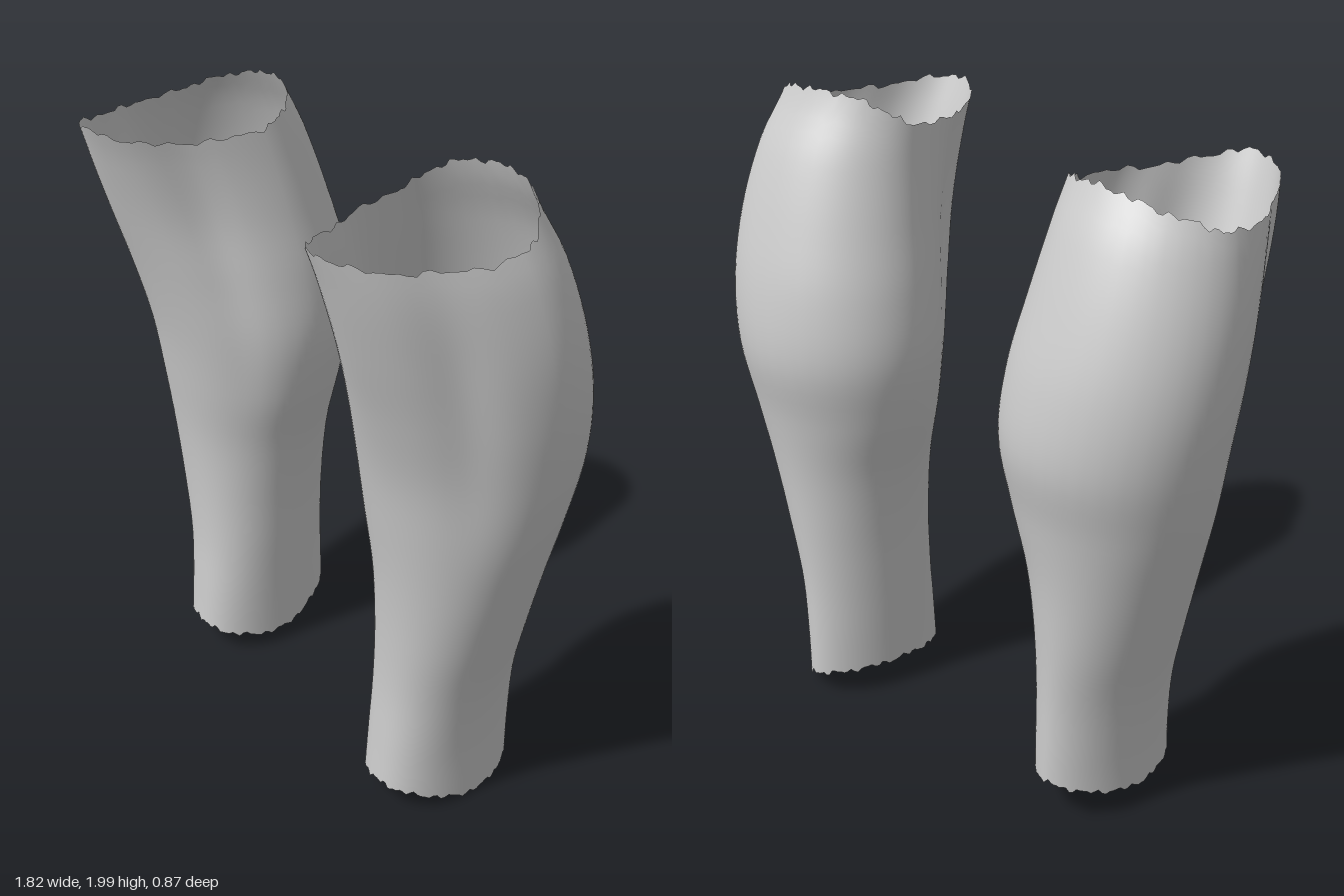
import * as THREE from 'three';

// Cross-sections of the left leg, every 0.2 up from y = 0:
// [inner x, outer x, front z, back z, z of widest point, front exponent, back exponent, flank hollow]
const SECTIONS = [
  [0.345, 0.655, 0.160, -0.337, -0.08, 2.3, 1.85, 0.00],
  [0.343, 0.660, 0.145, -0.337, -0.08, 2.3, 1.85, 0.00],
  [0.337, 0.685, 0.132, -0.337, -0.08, 2.2, 1.85, 0.00],
  [0.326, 0.735, 0.136, -0.348, -0.09, 2.1, 1.90, 0.00],
  [0.298, 0.790, 0.152, -0.365, -0.10, 1.95, 1.95, 0.00],
  [0.246, 0.845, 0.180, -0.395, -0.11, 1.85, 2.00, 0.01],
  [0.217, 0.885, 0.215, -0.434, -0.12, 1.80, 2.00, 0.03],
  [0.235, 0.908, 0.268, -0.418, -0.11, 1.80, 2.00, 0.06],
  [0.275, 0.905, 0.333, -0.365, -0.08, 1.80, 2.00, 0.08],
  [0.313, 0.868, 0.398, -0.292, -0.04, 1.90, 2.00, 0.06],
  [0.342, 0.800, 0.460, -0.195, 0.01, 2.00, 2.00, 0.02],
];

// Rim heights at eight directions: front, outer, back and inner with the diagonals between
const RIMS = {
  left: {
    top: [1.91, 1.88, 1.885, 1.96, 1.99, 1.97, 1.89, 1.87],
    bottom: [0.09, 0.07, 0.02, 0.03, 0.08, 0.10, 0.10, 0.08],
  },
  right: {
    top: [1.895, 1.85, 1.835, 1.89, 1.935, 1.92, 1.87, 1.86],
    bottom: [0.11, 0.10, 0.08, 0.11, 0.14, 0.12, 0.06, 0.08],
  },
};

// Smooth interpolation through four neighbouring values
function cubic(a, b, c, d, t) {
  const m0 = (c - a) / 2, m1 = (d - b) / 2;
  return b + t * (m0 + t * (3 * (c - b) - 2 * m0 - m1 + t * (2 * (b - c) + m0 + m1)));
}

function sectionAt(y) {
  const last = SECTIONS.length - 1;
  const f = THREE.MathUtils.clamp(y / 0.2, 0, last - 1e-6);
  const i = Math.floor(f);
  const row = (k) => SECTIONS[THREE.MathUtils.clamp(k, 0, last)];
  return SECTIONS[0].map((_, c) => cubic(row(i - 1)[c], row(i)[c], row(i + 1)[c], row(i + 2)[c], f - i));
}

function rimAt(heights, u) {
  const f = u * 8, i = Math.floor(f);
  const h = (k) => heights[(k + 8) % 8];
  return cubic(h(i - 1), h(i), h(i + 1), h(i + 2), f - i);
}

// Small repeatable raggedness for the torn rims
function ragged(u, phase) {
  const a = u * Math.PI * 2;
  return 0.005 * Math.sin(23 * a + phase) + 0.004 * Math.sin(37 * a + phase * 2.3) + 0.003 * Math.sin(11 * a + phase * 3.1);
}

// Point on the leg surface; u runs front, outer, back, inner
function surfacePoint(u, y) {
  const [xi, xo, zf, zb, zw, nf, nb, hollow] = sectionAt(y);
  const a = u * Math.PI * 2;
  const s = Math.sin(a), c = Math.cos(a);
  const n = c > 0 ? nf : nb;
  const r = 1 / Math.pow(Math.pow(Math.abs(s), n) + Math.pow(Math.abs(c), n), 1 / n);
  // hollows either side of the shin
  const off = Math.abs(Math.atan2(s, c)) - 0.9;
  const k = r * (1 - hollow * Math.exp(-off * off / 0.07));
  return [(xi + xo) / 2 + s * k * (xo - xi) / 2, y, zw + c * k * (c > 0 ? zf - zw : zw - zb)];
}

function makeLeg(name, side, rim, material) {
  const around = 112, rows = 48;
  const positions = [], indices = [];
  for (let j = 0; j <= rows; j++) {
    for (let i = 0; i < around; i++) {
      const u = i / around;
      const low = rimAt(rim.bottom, u) + ragged(u, 1 + side);
      const high = rimAt(rim.top, u) + ragged(u, 4 + side);
      const [x, y, z] = surfacePoint(u, THREE.MathUtils.lerp(low, high, j / rows));
      positions.push(side * x, y, z);
      if (j === rows) continue;
      const a = j * around + i, b = j * around + (i + 1) % around;
      const c = a + around, d = b + around;
      if (side > 0) indices.push(a, b, d, a, d, c);
      else indices.push(a, d, b, a, c, d);
    }
  }
  const geometry = new THREE.BufferGeometry();
  geometry.setAttribute('position', new THREE.Float32BufferAttribute(positions, 3));
  geometry.setIndex(indices);
  geometry.computeVertexNormals();
  const mesh = new THREE.Mesh(geometry, material);
  mesh.name = name;
  return mesh;
}

export function createModel() {
  const group = new THREE.Group();
  group.name = 'lowerLegs';
  const material = new THREE.MeshStandardMaterial({ color: 0xcccccc, side: THREE.DoubleSide });
  group.add(makeLeg('leftLowerLeg', 1, RIMS.left, material));
  group.add(makeLeg('rightLowerLeg', -1, RIMS.right, material));
  return group;
}
